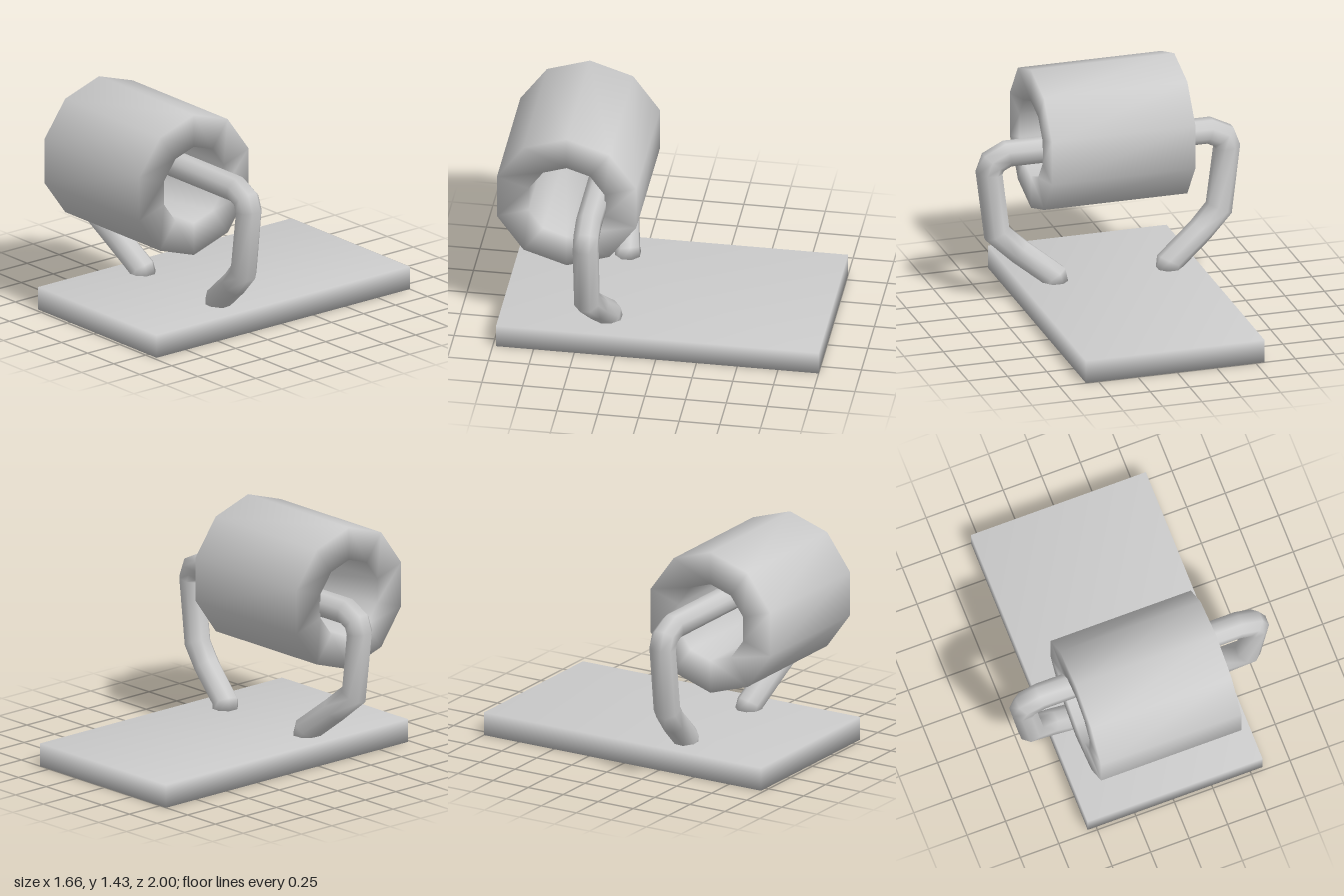
import * as THREE from 'three';
import { mergeVertices } from 'three/addons/utils/BufferGeometryUtils.js';

// Weld all corners so shading runs smoothly over every edge
function soften(geometry) {
  geometry.deleteAttribute('normal');
  geometry.deleteAttribute('uv');
  const welded = mergeVertices(geometry, 1e-4);
  welded.computeVertexNormals();
  return welded;
}

// Sweep a polygon along straight path sections with mitred joints and closed ends
function mitredTube(path, radius, sides) {
  const positions = [], index = [], last = path.length - 1;
  path.forEach((p, i) => {
    const before = p.clone().sub(path[Math.max(i - 1, 0)]).normalize();
    const after = path[Math.min(i + 1, last)].clone().sub(p).normalize();
    const t = before.clone().add(after).normalize();
    const stretch = i === 0 || i === last ? 1 : 1 / t.dot(after);
    const b = new THREE.Vector3(0, 0, 1).addScaledVector(t, -t.z).normalize();
    const n = new THREE.Vector3().crossVectors(b, t);
    for (let j = 0; j < sides; j++) {
      const a = ((j + 0.5) / sides) * Math.PI * 2;
      const v = p.clone()
        .addScaledVector(n, Math.cos(a) * radius * stretch)
        .addScaledVector(b, Math.sin(a) * radius);
      positions.push(v.x, v.y, v.z);
    }
  });
  for (let i = 0; i < last; i++) {
    for (let j = 0; j < sides; j++) {
      const k = (j + 1) % sides;
      const a = i * sides + j, b = i * sides + k;
      index.push(a, b, b + sides, a, b + sides, a + sides);
    }
  }
  for (let j = 1; j < sides - 1; j++) {
    index.push(0, j + 1, j);
    index.push(last * sides, last * sides + j, last * sides + j + 1);
  }
  const g = new THREE.BufferGeometry();
  g.setAttribute('position', new THREE.Float32BufferAttribute(positions, 3));
  g.setIndex(index);
  g.computeVertexNormals();
  return g;
}

export function createModel() {
  const group = new THREE.Group();
  const material = new THREE.MeshStandardMaterial({ color: 0xcccccc });
  const add = (name, geometry, x = 0, y = 0, z = 0) => {
    const mesh = new THREE.Mesh(geometry, material);
    mesh.name = name;
    mesh.position.set(x, y, z);
    group.add(mesh);
  };

  // Flat mounting plate
  add('backPlate', soften(new THREE.BoxGeometry(1.135, 0.145, 1.98)), 0.0125, 0.0725, -0.01);

  // Hollow ten-sided roll lying along x
  const half = 0.455, outer = 0.45, inner = 0.245;
  const profile = [[inner, -half], [outer, -half], [outer, half], [inner, half], [inner, -half]]
    .map(([r, y]) => new THREE.Vector2(r, y));
  const roll = new THREE.LatheGeometry(profile, 10, Math.PI / 2).rotateZ(-Math.PI / 2);
  add('paperRoll', soften(roll), -0.02, 0.98, 0.57);

  // Bent holder rod: one side from foot to bar, mirrored for the other
  const side = [
    [0.36, 0.12, 0.315], [0.37, 0.178, 0.325], [0.575, 0.342, 0.365], [0.705, 0.46, 0.402],
    [0.755, 0.86, 0.402], [0.73, 0.927, 0.402], [0.64, 0.972, 0.402],
  ];
  const path = [
    ...side.map(([x, y, z]) => new THREE.Vector3(-x, y, z)),
    ...side.slice().reverse().map(([x, y, z]) => new THREE.Vector3(x, y, z)),
  ];
  add('holderRod', mitredTube(path, 0.081, 8));

  return group;
}
